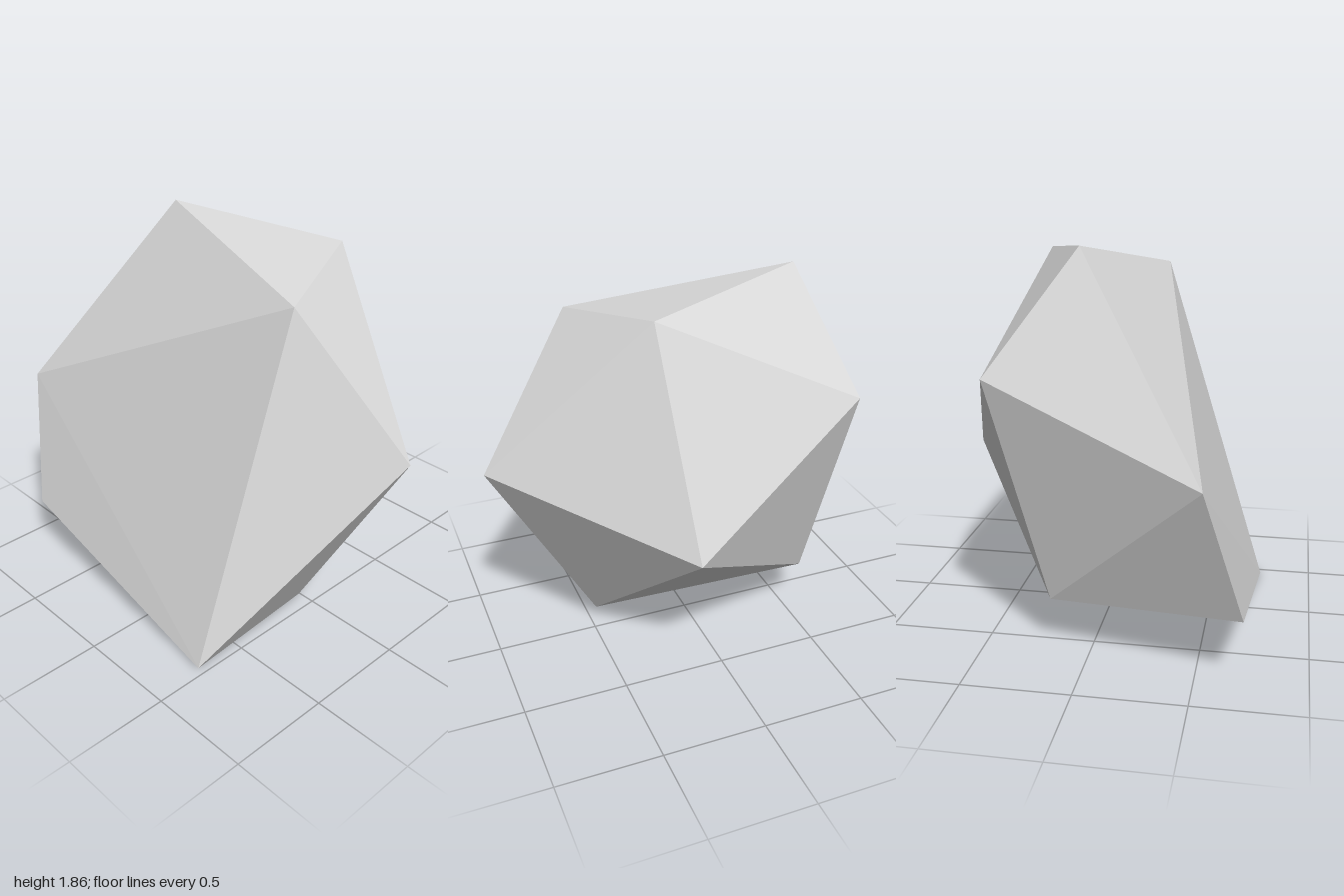
import * as THREE from 'three';

const stone = new THREE.MeshStandardMaterial({ color: 0xd9d9d9, flatShading: true });
stone.name = 'stone grey';

// Rim of the broad front, clockwise seen from the front
const frontRing = [
  [-1, 0.94, 0.54], [-0.53, 1.855, -0.05], [0.52, 1.685, 0.21], [0.46, 0, 0.74], [-0.81, 0.31, 0.71],
];
// Ring of corners behind it, each between two front corners
const backRing = [
  [-0.7, 1.295, -0.455], [0.28, 1.775, -0.36], [1, 1.02, -0.035], [0.47, 0.07, 0.07], [-0.58, 0.24, -0.19],
];
const backTip = [0.21, 0.755, -0.74];

// Joins the two rings into a faceted body with a broad front and pointed back
function facetedRock(front, back, tip) {
  const corners = [];
  const face = (a, b, c) => corners.push(...a, ...b, ...c);
  const n = front.length;
  for (let i = 0; i < n; i++) {
    const j = (i + 1) % n;
    face(front[i], front[j], back[i]);
    face(front[j], back[j], back[i]);
    face(back[i], back[j], tip);
    if (i > 0 && j > 0) face(front[0], front[j], front[i]);
  }
  const geometry = new THREE.BufferGeometry();
  geometry.setAttribute('position', new THREE.Float32BufferAttribute(corners, 3));
  geometry.computeVertexNormals();
  return geometry;
}

export function createModel() {
  const group = new THREE.Group();
  group.name = 'rock';
  const body = new THREE.Mesh(facetedRock(frontRing, backRing, backTip), stone);
  body.name = 'rockBody';
  group.add(body);
  return group;
}
